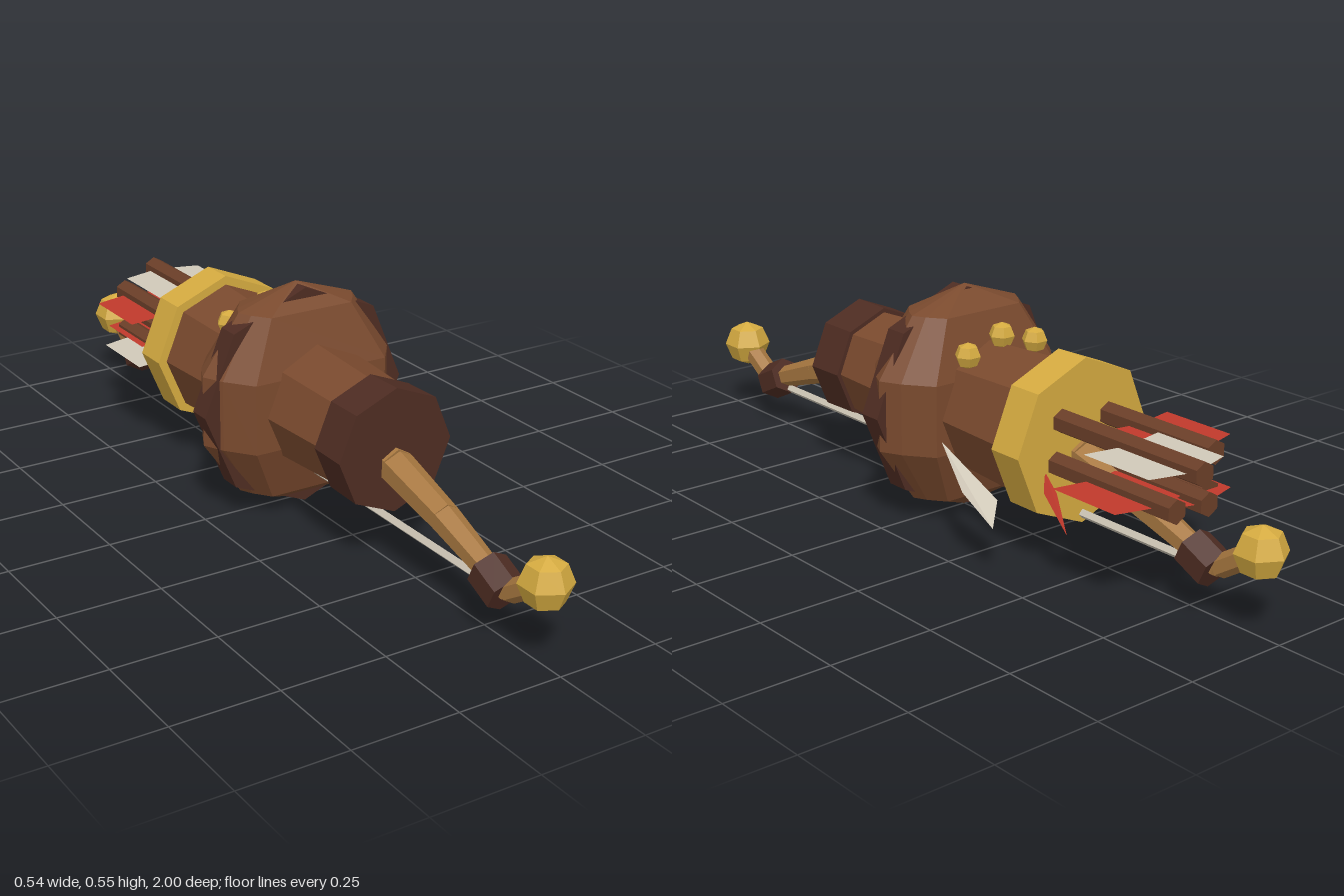
import * as THREE from 'three';
import { ConvexGeometry } from 'three/addons/geometries/ConvexGeometry.js';

const mat = (name, color, side = THREE.FrontSide) =>
  new THREE.MeshStandardMaterial({ name, color, side, flatShading: true });

export function createModel() {
  const group = new THREE.Group();
  const leather = mat('leather', 0x7a4a2e);
  const darkLeather = mat('dark leather', 0x4e2c22);
  const wood = mat('bow wood', 0xa87840);
  const gold = mat('gold', 0xd4aa40);
  const shaftWood = mat('arrow wood', 0x6a3e28);
  const red = mat('red feather', 0xc0392b, THREE.DoubleSide);
  const white = mat('white feather', 0xd0c8b8, THREE.DoubleSide);
  const string = mat('bowstring', 0xc8c0b0);
  const AXIS_Y = 0.276;

  const add = (name, geometry, material, x = 0, y = 0, z = 0) => {
    const mesh = new THREE.Mesh(geometry, material);
    mesh.name = name;
    mesh.position.set(x, y, z);
    group.add(mesh);
    return mesh;
  };

  // Octagonal drum along z, from z0 (front) to z1 (back)
  const drum = (name, z0, z1, r0, r1, material) => {
    const g = new THREE.CylinderGeometry(r0, r1, z0 - z1, 8).rotateX(Math.PI / 2);
    return add(name, g, material, 0, AXIS_Y, (z0 + z1) / 2);
  };

  // Tapered rod between two [x, y, z] points
  const rod = (name, a, b, ra, rb, sides, material) => {
    const p = new THREE.Vector3(...a), q = new THREE.Vector3(...b);
    const dir = q.clone().sub(p);
    const mesh = add(name, new THREE.CylinderGeometry(rb, ra, dir.length(), sides), material);
    mesh.position.copy(p).add(q).multiplyScalar(0.5);
    mesh.quaternion.setFromUnitVectors(new THREE.Vector3(0, 1, 0), dir.normalize());
    return mesh;
  };

  // Flat four-cornered feather
  const plate = (name, corners, material) => {
    const g = new THREE.BufferGeometry();
    g.setAttribute('position', new THREE.Float32BufferAttribute(corners.flat(), 3));
    g.setIndex([0, 1, 2, 0, 2, 3]);
    const flat = g.toNonIndexed();
    flat.computeVertexNormals();
    return add(name, flat, material);
  };

  // Quiver: body, front cap and golden rim
  drum('quiverBody', 0.32, -0.33, 0.134, 0.17, leather);
  drum('quiverCap', 0.415, 0.312, 0.147, 0.145, darkLeather);
  drum('quiverRim', -0.327, -0.415, 0.192, 0.192, gold);

  // Faceted bulge around the quiver
  const section = [[0.175, 0.115], [0.225, 0.05], [0.25, 0]];
  const points = [new THREE.Vector3(0, 0.274, 0), new THREE.Vector3(0, -0.274, 0)];
  for (const [y, k] of [[0.222, 0.615], [0.085, 1]])
    for (const [x, z] of section)
      for (const sx of [-1, 1])
        for (const sy of [-1, 1])
          for (const sz of z ? [-1, 1] : [1])
            points.push(new THREE.Vector3(sx * x * k, sy * y, sz * z * k));
  add('bulge', new ConvexGeometry(points), leather, 0, AXIS_Y, 0);
  drum('bulgeStrap', 0.042, -0.015, 0.268, 0.268, darkLeather);

  // Golden studs
  for (const [x, y] of [[-0.1, 0.425], [0, 0.455], [0.1, 0.425]])
    add('stud', new THREE.SphereGeometry(0.031, 6, 4), gold, x, y, -0.135);

  // Bow: mirrored limbs with wraps and end knobs
  const limb = [
    [0, 0.27, 0.044], [0.25, 0.262, 0.044], [0.42, 0.24, 0.042], [0.6, 0.19, 0.035],
    [0.75, 0.137, 0.028], [0.83, 0.117, 0.026], [0.92, 0.175, 0.026],
  ];
  for (const s of [-1, 1]) {
    for (let i = 0; i < limb.length - 1; i++) {
      const [z0, y0, r0] = limb[i], [z1, y1, r1] = limb[i + 1];
      rod('bowLimb', [0, y0, s * z0], [0, y1, s * z1], r0, r1, 6, wood);
    }
    rod('limbWrap', [0, 0.138, s * 0.75], [0, 0.105, s * 0.82], 0.048, 0.048, 6, darkLeather);
    add('endKnob', new THREE.SphereGeometry(0.06, 6, 4).rotateY(Math.PI / 2), gold, 0, 0.186, s * 0.94);
  }
  rod('bowString', [0, 0.105, -0.79], [0, 0.105, 0.79], 0.011, 0.011, 4, string);

  // Arrows: shaft with a flat pair of vanes; f is the front z of the vanes
  const arrows = [
    [0.067, 0.338, -0.84, -0.6, white], [-0.072, 0.325, -0.74, -0.49, red],
    [0.08, 0.242, -0.78, -0.52, red], [-0.08, 0.228, -0.72, -0.44, white],
    [-0.015, 0.235, -0.78, -0.55, red],
  ];
  for (const [x, y, end, f, material] of arrows) {
    rod('arrowShaft', [x, y, -0.3], [x, y, end], 0.028, 0.028, 6, shaftWood);
    for (const s of [-1, 1])
      plate('arrowVane', [
        [x, y, f - 0.02], [x + s * 0.108, y, f],
        [x + s * 0.108, y, f - 0.19], [x, y, f - 0.22],
      ], material);
  }

  // Loose feathers hanging at the side
  plate('looseWhiteFeather', [
    [0.165, 0.23, -0.12], [0.185, 0.16, -0.34], [0.24, 0.122, -0.39], [0.235, 0.172, -0.28],
  ], white);
  plate('looseRedFeather', [
    [0.11, 0.23, -0.41], [0.11, 0.19, -0.45], [0.152, 0.128, -0.53], [0.13, 0.19, -0.43],
  ], red);

  return group;
}
